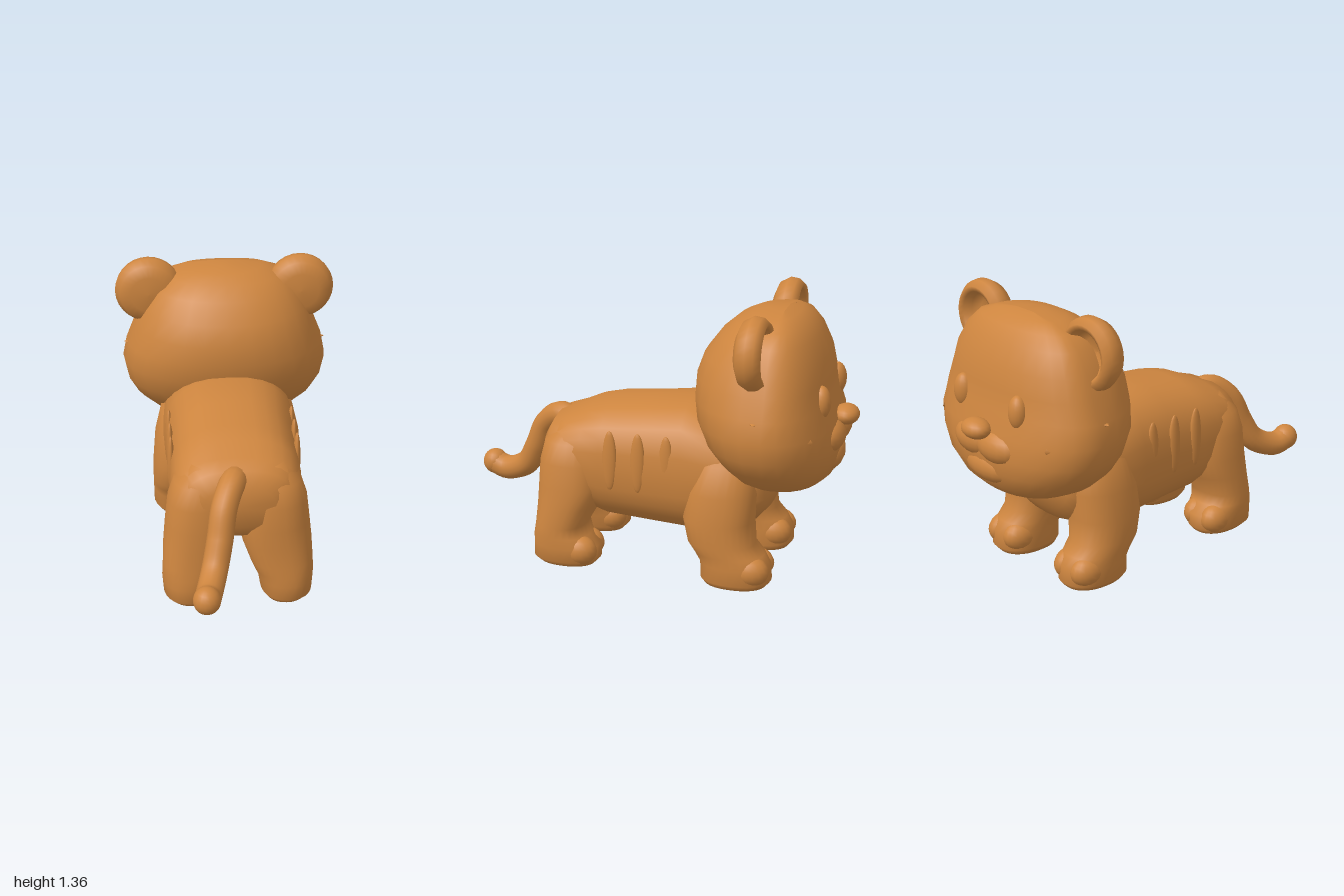
import * as THREE from 'three';

const fur = new THREE.MeshStandardMaterial({ color: 0xcd853f });
fur.name = 'orange fur';
const SEG = 28;

// rounded-square cosine / sine
const pw = (v, e) => Math.sign(v) * Math.pow(Math.abs(v), 2 / e);

// skin a stack of rings and close both ends; ringFn(section, cos, sin) -> [x, y, z]
function loft(sections, ringFn, exp = 2.3) {
  const pos = [], idx = [], n = sections.length;
  for (const s of sections) {
    for (let j = 0; j < SEG; j++) {
      const t = (j / SEG) * Math.PI * 2;
      pos.push(...ringFn(s, pw(Math.cos(t), exp), pw(Math.sin(t), exp)));
    }
  }
  for (let i = 0; i < n - 1; i++) {
    for (let j = 0; j < SEG; j++) {
      const a = i * SEG + j, b = i * SEG + (j + 1) % SEG;
      idx.push(a, a + SEG, b, b, a + SEG, b + SEG);
    }
  }
  const last = (n - 1) * SEG;
  pos.push(...ringFn(sections[0], 0, 0), ...ringFn(sections[n - 1], 0, 0));
  for (let j = 0; j < SEG; j++) {
    const k = (j + 1) % SEG;
    idx.push(n * SEG, j, k, n * SEG + 1, last + k, last + j);
  }
  const g = new THREE.BufferGeometry();
  g.setAttribute('position', new THREE.Float32BufferAttribute(pos, 3));
  g.setIndex(idx);
  g.computeVertexNormals();
  return g;
}

export function createModel() {
  const model = new THREE.Group();
  model.name = 'cub';
  const add = (name, geo, x = 0, y = 0, z = 0) => {
    const m = new THREE.Mesh(geo, fur);
    m.name = name;
    m.position.set(x, y, z);
    model.add(m);
    return m;
  };
  const blob = (name, p, r) => {
    const m = add(name, new THREE.SphereGeometry(1, 18, 12), ...p);
    m.scale.set(...r);
    return m;
  };

  // body: z, bottom, top, half width
  const body = [
    [-0.64, 0.43, 0.58, 0.13], [-0.6, 0.34, 0.66, 0.23], [-0.54, 0.27, 0.72, 0.29],
    [-0.4, 0.21, 0.8, 0.335], [-0.2, 0.195, 0.85, 0.33], [0, 0.205, 0.825, 0.315],
    [0.2, 0.22, 0.805, 0.315], [0.3, 0.26, 0.78, 0.315], [0.4, 0.31, 0.735, 0.305],
    [0.48, 0.36, 0.71, 0.26], [0.525, 0.43, 0.64, 0.17],
  ];
  add('body', loft(body, ([z, lo, hi, w], c, s) => [w * c, (lo + hi) / 2 - (hi - lo) / 2 * s, z], 2.5));

  // legs: y, centre x, centre z, half width, half depth
  const foreLeg = [
    [0, 0.25, -0.475, 0.11, 0.15], [0.03, 0.255, -0.478, 0.13, 0.172], [0.11, 0.255, -0.475, 0.13, 0.17],
    [0.16, 0.253, -0.445, 0.132, 0.17], [0.21, 0.25, -0.405, 0.137, 0.165], [0.32, 0.235, -0.385, 0.15, 0.172],
    [0.46, 0.22, -0.4, 0.153, 0.175], [0.6, 0.2, -0.41, 0.14, 0.15], [0.7, 0.17, -0.41, 0.07, 0.08],
  ];
  const hindLeg = [
    [0, 0.23, 0.385, 0.1, 0.14], [0.03, 0.235, 0.385, 0.125, 0.168], [0.1, 0.232, 0.385, 0.133, 0.168],
    [0.15, 0.222, 0.41, 0.142, 0.142], [0.2, 0.21, 0.417, 0.151, 0.128], [0.3, 0.188, 0.387, 0.168, 0.152],
    [0.4, 0.173, 0.365, 0.173, 0.172], [0.52, 0.17, 0.362, 0.162, 0.168], [0.62, 0.16, 0.362, 0.14, 0.145],
    [0.7, 0.13, 0.35, 0.09, 0.09],
  ];
  for (const side of [1, -1]) {
    const name = side > 0 ? 'left' : 'right';
    const legRing = ([y, cx, cz, rx, rz], c, s) => [side * cx + rx * c, y, cz + rz * s];
    add(name + 'ForeLeg', loft(foreLeg, legRing));
    add(name + 'HindLeg', loft(hindLeg, legRing));
    // toes
    for (const dx of [-0.058, 0.058]) {
      blob(name + 'ForeToe', [side * 0.255 + dx, 0.09, -0.555], [0.07, 0.078, 0.095]);
      blob(name + 'HindToe', [side * 0.235 + dx, 0.08, 0.305], [0.068, 0.075, 0.088]);
    }
    // faint raised flank stripes
    for (const z of [-0.14, 0, 0.14]) {
      blob(name + 'FlankStripe', [side * 0.306, 0.57, z], [0.018, 0.15, 0.035]);
    }
  }

  // head: y, half width, back z, face z
  const head = [
    [0.46, 0.16, -0.55, -0.76], [0.49, 0.27, -0.47, -0.84], [0.54, 0.37, -0.41, -0.89],
    [0.62, 0.46, -0.34, -0.92], [0.7, 0.505, -0.28, -0.925], [0.8, 0.525, -0.24, -0.915],
    [0.9, 0.505, -0.225, -0.88], [1.0, 0.465, -0.23, -0.865], [1.1, 0.43, -0.265, -0.845],
    [1.2, 0.37, -0.34, -0.8], [1.26, 0.3, -0.41, -0.755], [1.295, 0.2, -0.48, -0.7], [1.31, 0.06, -0.55, -0.63],
  ];
  const wide = -0.64; // depth of the widest point
  add('head', loft(head, ([y, w, back, face], c, s) =>
    [w * c, y, wide + Math.max(s, 0) * (back - wide) + Math.min(s, 0) * (wide - face)], 2.2));

  // ears: cups opening toward the face
  const cup = [[0, -0.072], [0.09, -0.068], [0.145, -0.045], [0.17, 0], [0.165, 0.04], [0.14, 0.07],
    [0.115, 0.06], [0.1, 0.02], [0.07, -0.01], [0, -0.02]].map(([r, y]) => new THREE.Vector2(r, y));
  const earGeo = new THREE.LatheGeometry(cup, 28).rotateX(-Math.PI / 2);

  for (const side of [1, -1]) {
    const name = side > 0 ? 'left' : 'right';
    add(name + 'Ear', earGeo, side * 0.385, 1.185, -0.565);
    blob(name + 'Eye', [side * 0.2, 0.925, -0.85], [0.05, 0.08, 0.045]).rotation.y = side * 0.3;
    blob(name + 'Muzzle', [side * 0.08, 0.735, -0.865], [0.14, 0.085, 0.085]);
    // cheek tufts, pointing outward
    for (const [y, z, len] of [[0.89, -0.6, 0.16], [0.79, -0.72, 0.12]]) {
      const tuft = add(name + 'CheekTuft', new THREE.ConeGeometry(0.13, len, 12), side * 0.44, y, z);
      tuft.rotation.z = -side * Math.PI / 2;
      tuft.scale.set(0.35, 1, 1);
    }
  }
  blob('nose', [0, 0.815, -0.935], [0.08, 0.048, 0.063]);
  blob('chin', [0, 0.62, -0.845], [0.18, 0.085, 0.09]);

  // tail with a rounded tip
  const path = new THREE.CatmullRomCurve3([
    [0, 0.63, 0.4], [-0.03, 0.665, 0.5], [-0.075, 0.595, 0.6], [-0.1, 0.46, 0.665], [-0.125, 0.355, 0.725],
    [-0.145, 0.31, 0.79], [-0.165, 0.29, 0.87], [-0.175, 0.31, 0.935],
  ].map((p) => new THREE.Vector3(...p)));
  add('tail', new THREE.TubeGeometry(path, 36, 0.062, 14));
  blob('tailTip', [-0.175, 0.312, 0.935], [0.064, 0.066, 0.064]);

  return model;
}
